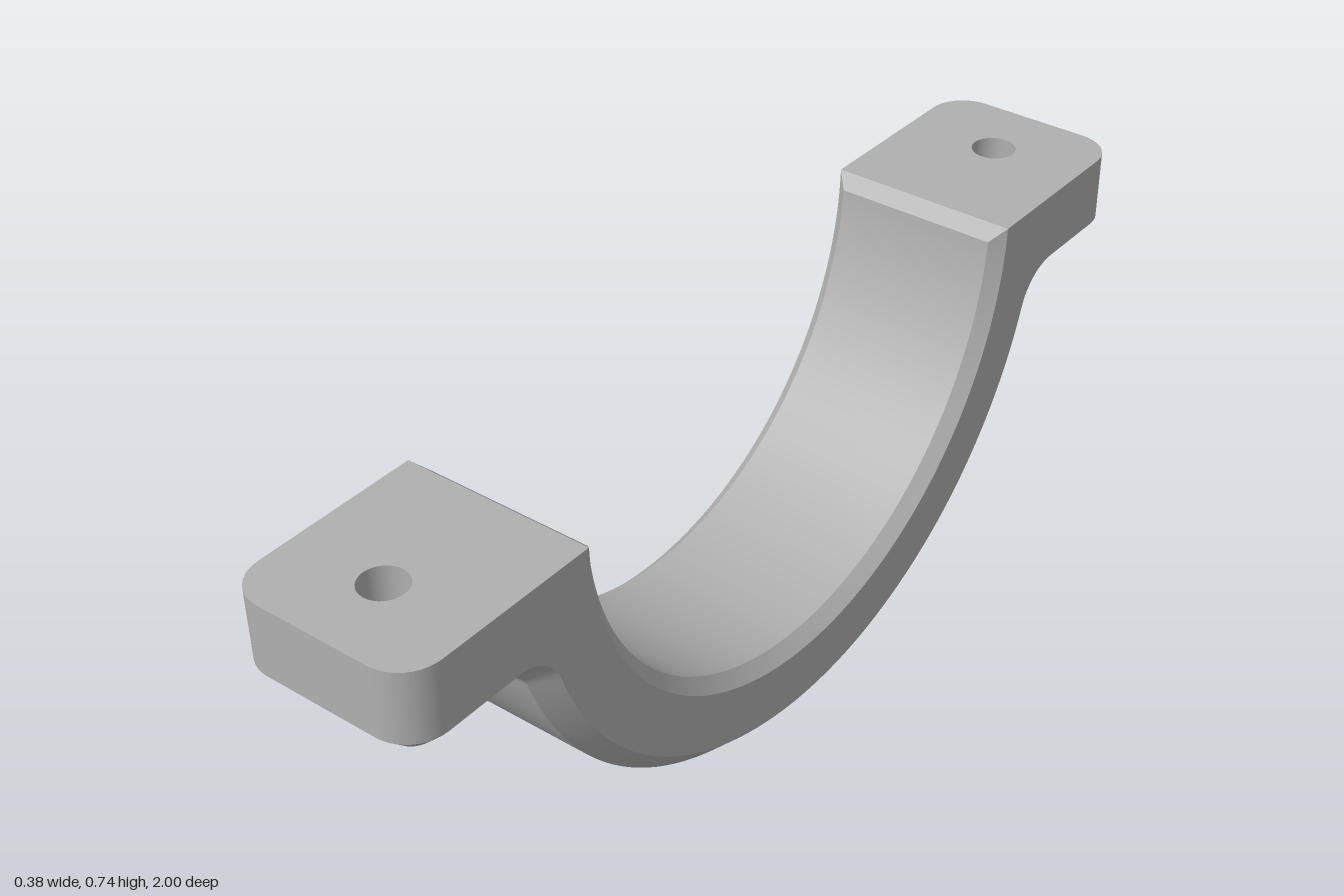
import * as THREE from 'three';
import { mergeGeometries } from 'three/addons/utils/BufferGeometryUtils.js';

const W = 0.1875, TOP = 0.7375, CY = 0.75;      // half width, joint face, bore centre height
const OUT = 0.75, SIDE = 0.6, BORE = 0.575;     // outer, bore-edge and bore radii
const BEV = 0.0375, LIP = 0.025;                // outer and bore chamfers
const FIL = 0.0625, FY = 0.5;                   // fillet under the ear
const FZ = Math.sqrt((OUT + FIL) ** 2 - (CY - FY) ** 2);
const EAR = 0.5625, HOLE_Z = 0.85;

// Strip of quads between two rows of [x, y, z] points
function ribbon(a, b, flat = false) {
  const n = a.length, index = [];
  for (let i = 0; i < n - 1; i++) index.push(i, i + 1, n + i + 1, i, n + i + 1, n + i);
  let g = new THREE.BufferGeometry();
  g.setAttribute('position', new THREE.Float32BufferAttribute([...a, ...b].flat(), 3));
  g.setIndex(index);
  if (flat) g = g.toNonIndexed();
  g.computeVertexNormals();
  return finish(g);
}

function finish(g) {
  const r = g.index ? g.toNonIndexed() : g;
  r.deleteAttribute('uv');
  return r;
}

// Horizontal face from [x, z] points with an optional hole
function cap(points, hole, y, up) {
  const s = up ? -1 : 1;
  const to2 = (list) => list.map(([x, z]) => new THREE.Vector2(x, s * z));
  const shape = new THREE.Shape(to2(points));
  if (hole) shape.holes.push(new THREE.Path(to2(hole)));
  const g = new THREE.ShapeGeometry(shape);
  g.rotateX(s * Math.PI / 2);
  g.translate(0, y, 0);
  return finish(g);
}

// Mirror a half path of [z, y], starting at z = 0
const mirror = (half) => [...half.slice(1).reverse().map(([z, y]) => [-z, y]), ...half];
const atX = (path, x) => path.map(([z, y]) => [x, y, z]);
const atY = (path, y) => path.map(([x, z]) => [x, y, z]);

function arc(radius, end, n = 48) {
  return Array.from({ length: n + 1 }, (_, i) => {
    const a = end * i / n;
    return [radius * Math.sin(a), CY - radius * Math.cos(a)];
  });
}

// Underside of the arch, blending into the ear
function underside(inset) {
  const half = arc(OUT - inset, Math.atan2(FZ, CY - FY));
  const start = Math.PI - Math.atan2(CY - FY, FZ), r = FIL + inset;
  for (let i = 1; i <= 12; i++) {
    const a = start + (Math.PI / 2 - start) * i / 12;
    half.push([FZ + r * Math.cos(a), FY + r * Math.sin(a)]);
  }
  return mirror(half);
}

function buildArch() {
  const outer = underside(0), inset = underside(BEV);
  const edge = mirror(arc(SIDE, Math.acos((CY - TOP) / SIDE)));
  const bore = mirror(arc(BORE, Math.acos((CY - TOP + LIP) / BORE)));
  const xo = W - BEV, xi = W - LIP;
  const parts = [
    ribbon(atX(outer, xo), atX(outer, -xo)),
    ribbon(atX(inset, W), atX(outer, xo)),
    ribbon(atX(outer, -xo), atX(inset, -W)),
    ribbon(atX(bore, -xi), atX(bore, xi)),
    ribbon(atX(edge, -W), atX(bore, -xi)),
    ribbon(atX(bore, xi), atX(edge, W)),
  ];
  // Chamfers at both mouths of the bore
  const last = edge.length - 1;
  const mouth = (x, k) => [[(x * xi), bore[k][1], bore[k][0]], [x * W, edge[k][1], edge[k][0]]];
  parts.push(ribbon(mouth(-1, last), mouth(1, last)));
  parts.push(ribbon(mouth(-1, 0).reverse(), mouth(1, 0).reverse()));
  // Flat sides
  const outline = [...inset, [FZ, TOP], ...edge.slice().reverse(), [-FZ, TOP]];
  for (const s of [-1, 1]) {
    const g = new THREE.ShapeGeometry(new THREE.Shape(outline.map(([z, y]) => new THREE.Vector2(z, y))));
    g.rotateY(s * Math.PI / 2);
    g.translate(s * W, 0, 0);
    parts.push(finish(g));
  }
  return mergeGeometries(parts);
}

// Ear outline with rounded outer corners
function earOutline(inset, z0) {
  const R = 0.075, r = R - inset, pts = [[W - inset, z0]];
  for (const s of [1, -1]) {
    for (let i = 0; i <= 10; i++) {
      const a = Math.PI / 2 * (s > 0 ? i : 10 - i) / 10;
      pts.push([s * (W - R + r * Math.cos(a)), 1 - R + r * Math.sin(a)]);
    }
  }
  pts.push([inset - W, z0]);
  return pts;
}

function ring(radius, sides, turn = 0) {
  return Array.from({ length: sides + 1 }, (_, i) => {
    const a = turn + i / sides * Math.PI * 2;
    return [radius * Math.cos(a), HOLE_Z + radius * Math.sin(a)];
  });
}

function buildEar() {
  const full = earOutline(0, FZ), small = earOutline(BEV, FZ);
  const hole = ring(0.0425, 32), hex = ring(0.076, 6, Math.PI / 6);
  const pocket = EAR + 0.0625;
  const open = (loop) => loop.slice(0, -1);
  return mergeGeometries([
    ribbon(atY(full, TOP), atY(full, EAR + BEV)),
    ribbon(atY(full, EAR + BEV), atY(small, EAR)),
    cap(earOutline(0, Math.sqrt(SIDE ** 2 - (CY - TOP) ** 2)), open(hole), TOP, true),
    cap(small, open(hex), EAR, false),
    // Bolt hole and nut pocket
    ribbon(atY(hole, pocket), atY(hole, TOP)),
    ribbon(atY(hex, EAR), atY(hex, pocket), true),
    cap(open(hex), open(hole), pocket, false),
  ]);
}

export function createModel() {
  const gray = new THREE.MeshStandardMaterial({ color: 0xb0b0b0 });
  gray.name = 'gray';
  const model = new THREE.Group();
  model.name = 'halfClamp';
  const arch = new THREE.Mesh(buildArch(), gray);
  arch.name = 'arch';
  model.add(arch);
  const earGeometry = buildEar();
  ['frontEar', 'backEar'].forEach((name, i) => {
    const ear = new THREE.Mesh(earGeometry, gray);
    ear.name = name;
    ear.rotation.y = i * Math.PI;
    model.add(ear);
  });
  return model;
}
